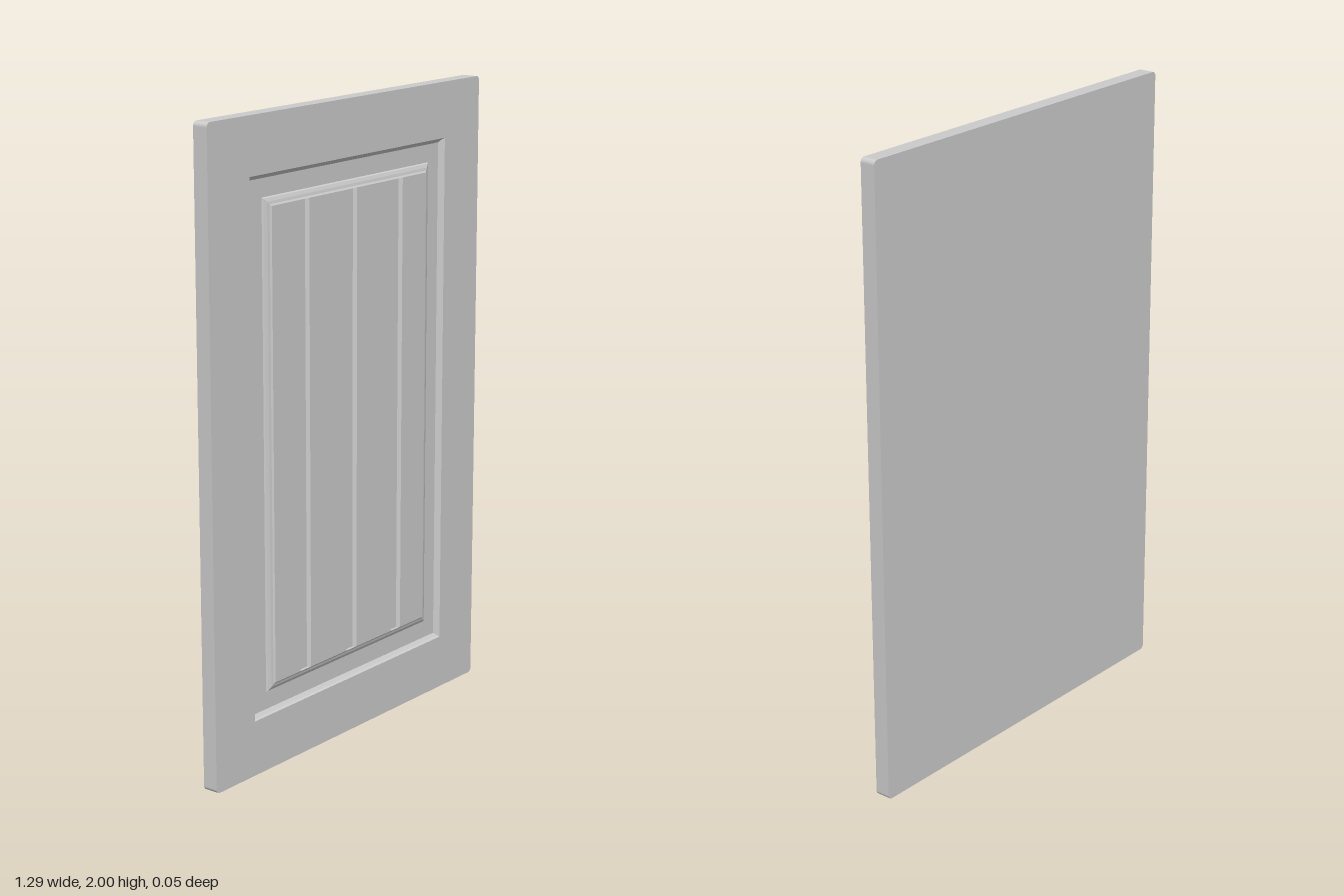
import * as THREE from 'three';

const HALF_W = 0.643, HALF_D = 0.025, MID_Y = 1;
const OPEN_W = 0.465, OPEN_H = 0.825; // half size of the recessed opening
const PANEL_INSET = 0.096;            // from the opening to the grooved field

// Rectangle centred on the origin with slightly rounded corners
function roundedRect(w, h, r) {
  const s = new THREE.Shape();
  s.moveTo(w - r, -h);
  s.absarc(w - r, h - r, r, 0, Math.PI / 2);
  s.absarc(r - w, h - r, r, Math.PI / 2, Math.PI);
  s.absarc(r - w, r - h, r, Math.PI, Math.PI * 1.5);
  s.absarc(w - r, r - h, r, Math.PI * 1.5, Math.PI * 2);
  return s;
}

// Mitred rectangular moulding; profile is a list of [inset, z], outside to inside
function mouldingGeometry(halfW, halfH, profile) {
  const pos = [];
  const signs = [[-1, -1], [1, -1], [1, 1], [-1, 1]];
  const corner = ([inset, z], i) => {
    const [sx, sy] = signs[i % 4];
    return [sx * (halfW - inset), sy * (halfH - inset), z];
  };
  for (let k = 0; k < profile.length - 1; k++) {
    for (let i = 0; i < 4; i++) {
      const a = corner(profile[k], i), b = corner(profile[k], i + 1);
      const c = corner(profile[k + 1], i + 1), d = corner(profile[k + 1], i);
      pos.push(...a, ...b, ...c, ...a, ...c, ...d);
    }
  }
  const g = new THREE.BufferGeometry();
  g.setAttribute('position', new THREE.Float32BufferAttribute(pos, 3));
  g.computeVertexNormals();
  return g;
}

export function createModel() {
  const group = new THREE.Group();
  const material = new THREE.MeshStandardMaterial({ color: 0xcccccc, flatShading: true });
  const add = (name, geometry, z = 0) => {
    const mesh = new THREE.Mesh(geometry, material);
    mesh.name = name;
    mesh.position.set(0, MID_Y, z);
    group.add(mesh);
  };
  const extrude = (shape, depth) =>
    new THREE.ExtrudeGeometry(shape, { depth, bevelEnabled: false, curveSegments: 4 });

  // Solid back and the surrounding frame with its opening
  const backDepth = 0.02;
  add('backBoard', extrude(roundedRect(HALF_W, 1, 0.014), backDepth), -HALF_D);
  const frame = roundedRect(HALF_W, 1, 0.014);
  frame.holes.push(new THREE.Path([
    new THREE.Vector2(-OPEN_W, -OPEN_H), new THREE.Vector2(-OPEN_W, OPEN_H),
    new THREE.Vector2(OPEN_W, OPEN_H), new THREE.Vector2(OPEN_W, -OPEN_H),
  ]));
  add('frame', extrude(frame, 2 * HALF_D - backDepth), backDepth - HALF_D);

  // Recess edge, sunken channel, and stepped rise to the centre panel
  add('moulding', mouldingGeometry(OPEN_W, OPEN_H, [
    [0, 0.025], [0.004, 0.018], [0.014, 0.009], [0.07, 0.009],
    [0.073, 0.014], [0.083, 0.019], [0.091, 0.021],
    [PANEL_INSET, 0.025], [PANEL_INSET, 0],
  ]));

  // Centre panel: horizontal section with three grooves, run up the height
  const w = OPEN_W - PANEL_INSET, h = OPEN_H - PANEL_INSET;
  const face = 0.025, floor = 0.015;
  const section = new THREE.Shape();
  section.moveTo(-w, 0);
  section.lineTo(-w, -face);
  for (const x of [-0.225, 0, 0.225]) {
    section.lineTo(x - 0.025, -face);
    section.lineTo(x - 0.017, -floor);
    section.lineTo(x + 0.017, -floor);
    section.lineTo(x + 0.025, -face);
  }
  section.lineTo(w, -face);
  section.lineTo(w, 0);
  const panel = extrude(section, 2 * h);
  panel.translate(0, 0, -h);
  panel.rotateX(-Math.PI / 2);
  add('groovedPanel', panel);

  return group;
}
